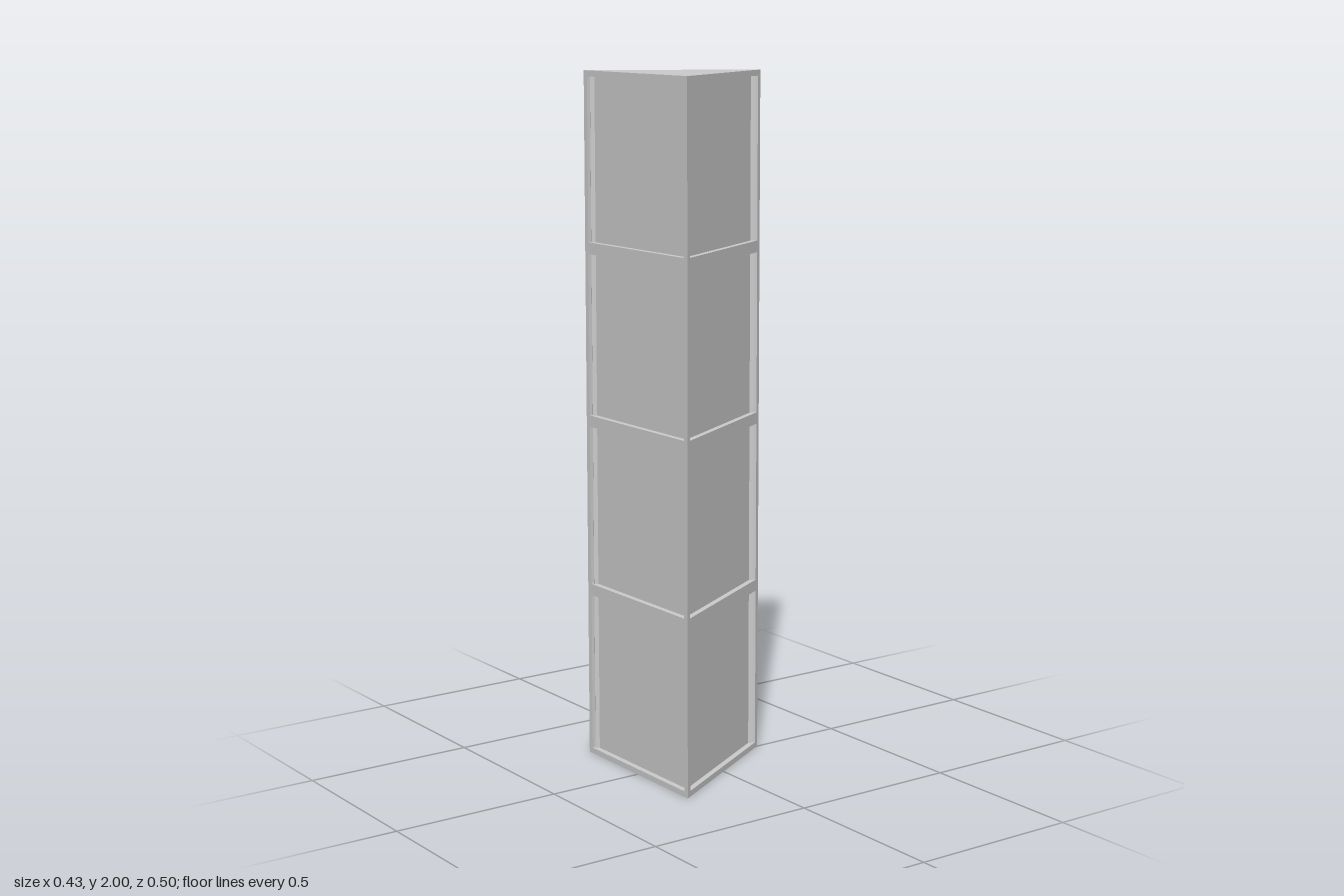
import * as THREE from 'three';
import { mergeGeometries } from 'three/addons/utils/BufferGeometryUtils.js';

const SIDE = 0.5, HEIGHT = 2, CELLS = 4;
const MARGIN = 0.0167, DEPTH = 0.0167;
const CELL = HEIGHT / CELLS, OPEN = SIDE - 2 * MARGIN;

const material = new THREE.MeshStandardMaterial({ color: 0xcccccc, flatShading: true, side: THREE.DoubleSide });

function part(name, geometry) {
  const mesh = new THREE.Mesh(geometry, material);
  mesh.name = name;
  return mesh;
}

// Flat frame of one side, with a square opening per cell
function frameGeometry() {
  const h = SIDE / 2, o = OPEN / 2;
  const corners = (w, y0, y1) => [[-w, y0], [w, y0], [w, y1], [-w, y1]].map(p => new THREE.Vector2(...p));
  const shape = new THREE.Shape(corners(h, 0, HEIGHT));
  for (let i = 0; i < CELLS; i++) {
    const y = (i + 0.5) * CELL;
    shape.holes.push(new THREE.Path(corners(o, y - o, y + o).reverse()));
  }
  return new THREE.ShapeGeometry(shape);
}

// Four inward-facing walls around one opening
function revealGeometry() {
  const walls = [];
  for (let i = 0; i < 4; i++) {
    walls.push(new THREE.PlaneGeometry(OPEN, DEPTH)
      .rotateX(-Math.PI / 2)
      .translate(0, -OPEN / 2, -DEPTH / 2)
      .rotateZ(i * Math.PI / 2));
  }
  return mergeGeometries(walls);
}

// One side: frame plus a column of recessed panels
function makeSide() {
  const side = new THREE.Group();
  side.name = 'side';
  side.add(part('frame', frameGeometry()));
  for (let i = 0; i < CELLS; i++) {
    const y = (i + 0.5) * CELL;
    const reveal = part('panelReveal', revealGeometry());
    reveal.position.y = y;
    const panel = part('recessedPanel', new THREE.PlaneGeometry(OPEN, OPEN));
    panel.position.set(0, y, -DEPTH);
    side.add(reveal, panel);
  }
  return side;
}

export function createModel() {
  const model = new THREE.Group();
  model.name = 'triangularColumn';
  const halfWidth = SIDE * Math.sqrt(3) / 4;
  const inradius = SIDE / (2 * Math.sqrt(3));
  const centreX = inradius - halfWidth;

  // Three identical sides around the centre of the triangle
  for (let i = 0; i < 3; i++) {
    const angle = Math.PI / 6 + i * Math.PI * 2 / 3;
    const side = makeSide();
    side.rotation.y = angle;
    side.position.set(centreX + Math.sin(angle) * inradius, 0, Math.cos(angle) * inradius);
    model.add(side);
  }

  // Triangular end caps
  const triangle = new THREE.Shape([
    new THREE.Vector2(-halfWidth, -SIDE / 2),
    new THREE.Vector2(halfWidth, 0),
    new THREE.Vector2(-halfWidth, SIDE / 2),
  ]);
  const top = part('topCap', new THREE.ShapeGeometry(triangle).rotateX(-Math.PI / 2));
  top.position.y = HEIGHT;
  model.add(top, part('bottomCap', new THREE.ShapeGeometry(triangle).rotateX(Math.PI / 2)));
  return model;
}
